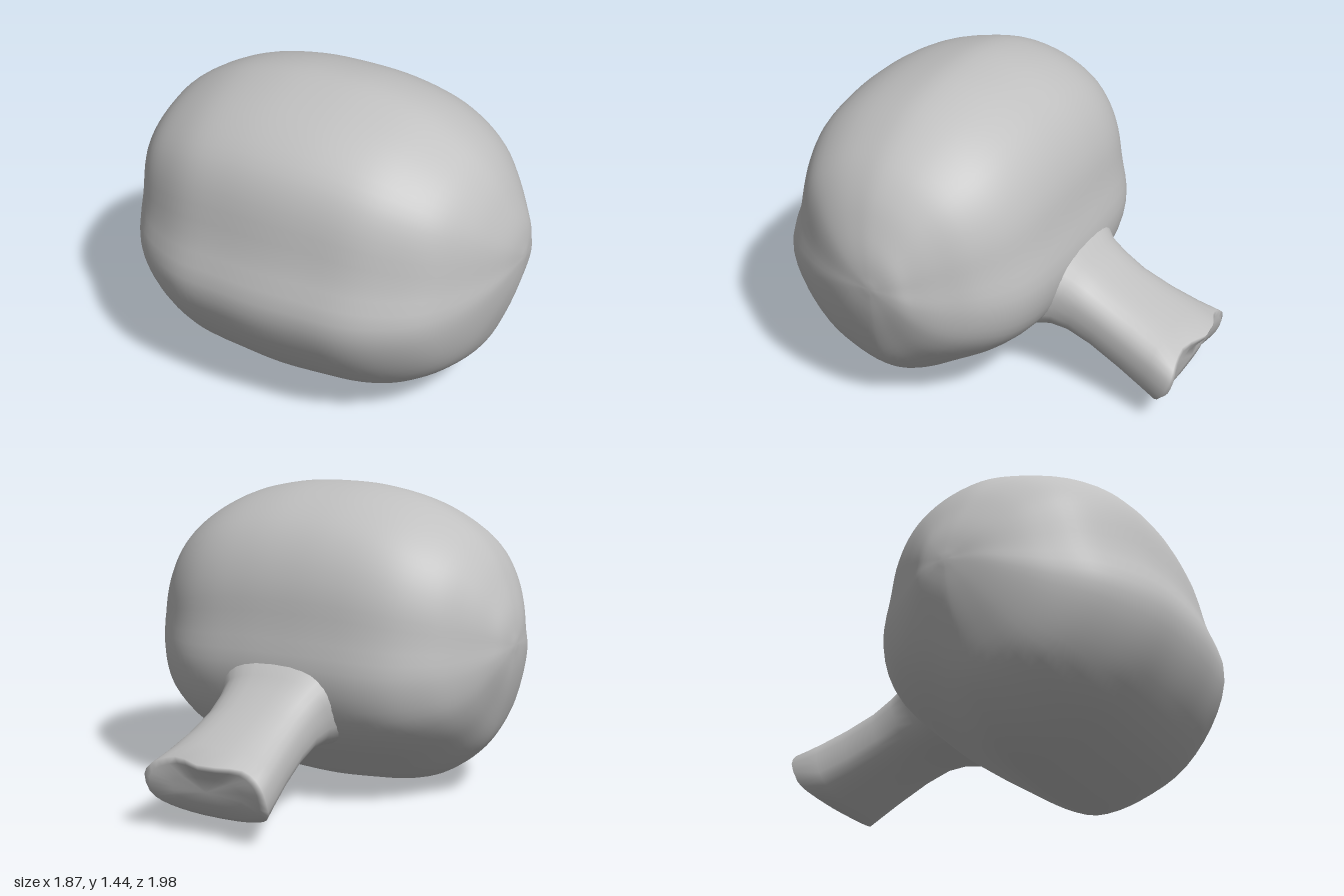
import * as THREE from 'three';
import { mergeVertices } from 'three/addons/utils/BufferGeometryUtils.js';

// Skins a list of closed rings (each an array of Vector3) with smooth normals.
function loft(rings) {
  const n = rings[0].length;
  const index = [];
  for (let i = 0; i < rings.length - 1; i++) {
    for (let j = 0; j < n; j++) {
      const a = i * n + j, b = i * n + (j + 1) % n;
      index.push(a, b, b + n, a, b + n, a + n);
    }
  }
  let geo = new THREE.BufferGeometry().setFromPoints(rings.flat());
  geo.setIndex(index);
  geo = mergeVertices(geo, 1e-4);
  geo.computeVertexNormals();
  return geo;
}

// Uniform spline through rows of three numbers.
const spline = (rows, closed = false) =>
  new THREE.CatmullRomCurve3(rows.map(r => new THREE.Vector3(...r)), closed, 'catmullrom', 0.5);

// Body: one side outline, fitted to the height and depth of each slice across x.
function bodyGeometry() {
  // Outline as [z, y], from the top, down the back, and up the front
  const outline = spline([
    [0.25, 1.445], [0.05, 1.4], [-0.12, 1.305], [-0.23, 1.18], [-0.3, 1.02], [-0.335, 0.83],
    [-0.37, 0.62], [-0.32, 0.42], [-0.19, 0.27], [0, 0.14], [0.17, 0.035], [0.3, 0],
    [0.5, 0.045], [0.74, 0.17], [0.92, 0.39], [1, 0.63], [0.93, 0.86], [0.87, 1.1],
    [0.78, 1.25], [0.62, 1.36], [0.42, 1.425],
  ].map(([z, y]) => [0, y, z]), true);

  // Slices as [x, bottom, top, back, front]
  const half = [
    [0.935, 0.75, 0.75, 0.22, 0.22], [0.915, 0.6, 0.88, 0.1, 0.38],
    [0.87, 0.44, 1, 0.02, 0.52], [0.8, 0.28, 1.13, -0.08, 0.66],
    [0.7, 0.17, 1.24, -0.2, 0.8], [0.56, 0.08, 1.33, -0.295, 0.9],
    [0.4, 0.03, 1.395, -0.345, 0.965], [0.2, 0.01, 1.435, -0.365, 0.99],
    [0, 0, 1.445, -0.37, 1],
  ];
  const slices = [...half, ...half.slice(0, -1).reverse().map(([x, ...r]) => [-x, ...r])];
  const heights = spline(slices.map(s => [s[0], s[1], s[2]]));
  const depths = spline(slices.map(s => [s[0], s[3], s[4]]));

  const rings = [], steps = 64, around = 72;
  for (let i = 0; i <= steps; i++) {
    const h = heights.getPoint(i / steps), d = depths.getPoint(i / steps);
    const ring = [];
    for (let j = 0; j < around; j++) {
      const p = outline.getPoint(j / around);
      ring.push(new THREE.Vector3(
        h.x,
        h.y + (h.z - h.y) * p.y / 1.445,
        d.y + (d.z - d.y) * (p.z + 0.37) / 1.37));
    }
    rings.push(ring);
  }
  return loft(rings);
}

// Stem: flattened tube that flares into the body and ends in an uneven cut.
function stemGeometry() {
  // Sections as [top z, top y, bottom z, bottom y, half width, cut amount]
  const sections = [
    [-0.2, 0.78, -0.03, 0.24, 0.42, 0], [-0.36, 0.675, -0.21, 0.262, 0.32, 0],
    [-0.41, 0.62, -0.27, 0.265, 0.275, 0], [-0.48, 0.57, -0.36, 0.255, 0.257, 0],
    [-0.58, 0.51, -0.48, 0.21, 0.25, 0], [-0.72, 0.45, -0.64, 0.135, 0.262, 0],
    [-0.84, 0.4, -0.75, 0.083, 0.285, 0.3], [-0.93, 0.36, -0.8, 0.06, 0.31, 1],
    [-0.93, 0.33, -0.85, 0.09, 0.28, 0.8], [-0.92, 0.27, -0.9, 0.15, 0.18, 0],
    [-0.92, 0.21, -0.92, 0.21, 0, 0],
  ];
  const around = 32;
  const soften = v => Math.sign(v) * Math.abs(v) ** 0.75;
  const rings = sections.map(([tz, ty, bz, by, w, cut]) => {
    const ring = [];
    for (let j = 0; j < around; j++) {
      const a = j / around * Math.PI * 2;
      const u = soften(Math.cos(a)), s = soften(Math.sin(a));
      // Peak at the top middle, smaller corners at both sides
      const peak = u > 0 ? 0.07 * Math.max(0, 1 - Math.abs(s + 0.12) / 0.55) : 0;
      const corner = 0.06 * Math.abs(s) ** 4;
      ring.push(new THREE.Vector3(
        s * w,
        (ty + by) / 2 + u * (ty - by) / 2 - cut * peak * 0.2,
        (tz + bz) / 2 + u * (tz - bz) / 2 - cut * (peak + corner)));
    }
    return ring;
  });
  return loft(rings);
}

export function createModel() {
  const grey = new THREE.MeshStandardMaterial({ color: 0xc0c0c0 });
  grey.name = 'plain grey';

  const body = new THREE.Mesh(bodyGeometry(), grey);
  body.name = 'body';
  const stem = new THREE.Mesh(stemGeometry(), grey);
  stem.name = 'stem';

  const group = new THREE.Group();
  group.name = 'stemmedGourd';
  group.add(body, stem);
  return group;
}
